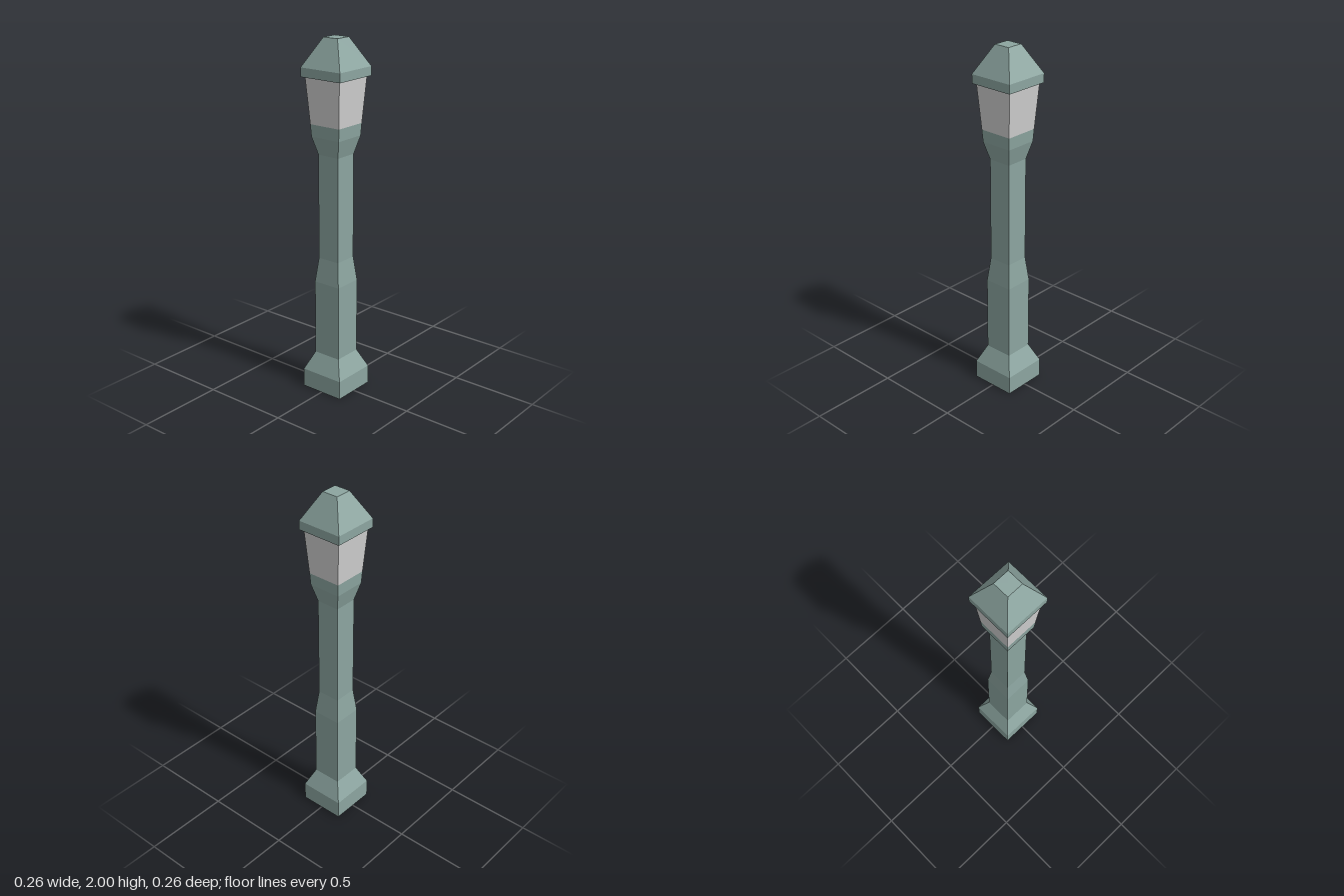
import * as THREE from 'three';

export function createModel() {
  const model = new THREE.Group();
  model.name = 'lampPost';

  const paintedMetal = new THREE.MeshStandardMaterial({ color: 0x8ca5a0, flatShading: true });
  paintedMetal.name = 'painted metal';
  const paleGlass = new THREE.MeshStandardMaterial({ color: 0xd0d0d0, flatShading: true });
  paleGlass.name = 'pale glass';

  // Square section swept up a profile of [half width, height], bottom to top
  function squarePart(name, material, profile) {
    const points = profile.map(([half, y]) => new THREE.Vector2(half * Math.SQRT2, y));
    const geometry = new THREE.LatheGeometry(points, 4, Math.PI / 4);
    const mesh = new THREE.Mesh(geometry, material);
    mesh.name = name;
    model.add(mesh);
  }

  // Plinth with sloped shoulders
  squarePart('base', paintedMetal, [[0, 0], [0.131, 0], [0.131, 0.107], [0.083, 0.213]]);

  // Thick lower post narrowing to the upper post
  squarePart('post', paintedMetal, [[0.083, 0.213], [0.083, 0.645], [0.067, 0.785], [0.067, 1.375]]);

  // Flared holder beneath the glass
  squarePart('lanternHolder', paintedMetal, [[0.067, 1.375], [0.093, 1.475], [0.097, 1.543]]);

  // Tapered glass
  squarePart('lanternGlass', paleGlass, [[0.097, 1.543], [0.115, 1.795]]);

  // Overhanging roof with a flat top
  squarePart('roof', paintedMetal, [[0, 1.795], [0.131, 1.795], [0.131, 1.845], [0.047, 2], [0, 2]]);

  return model;
}
